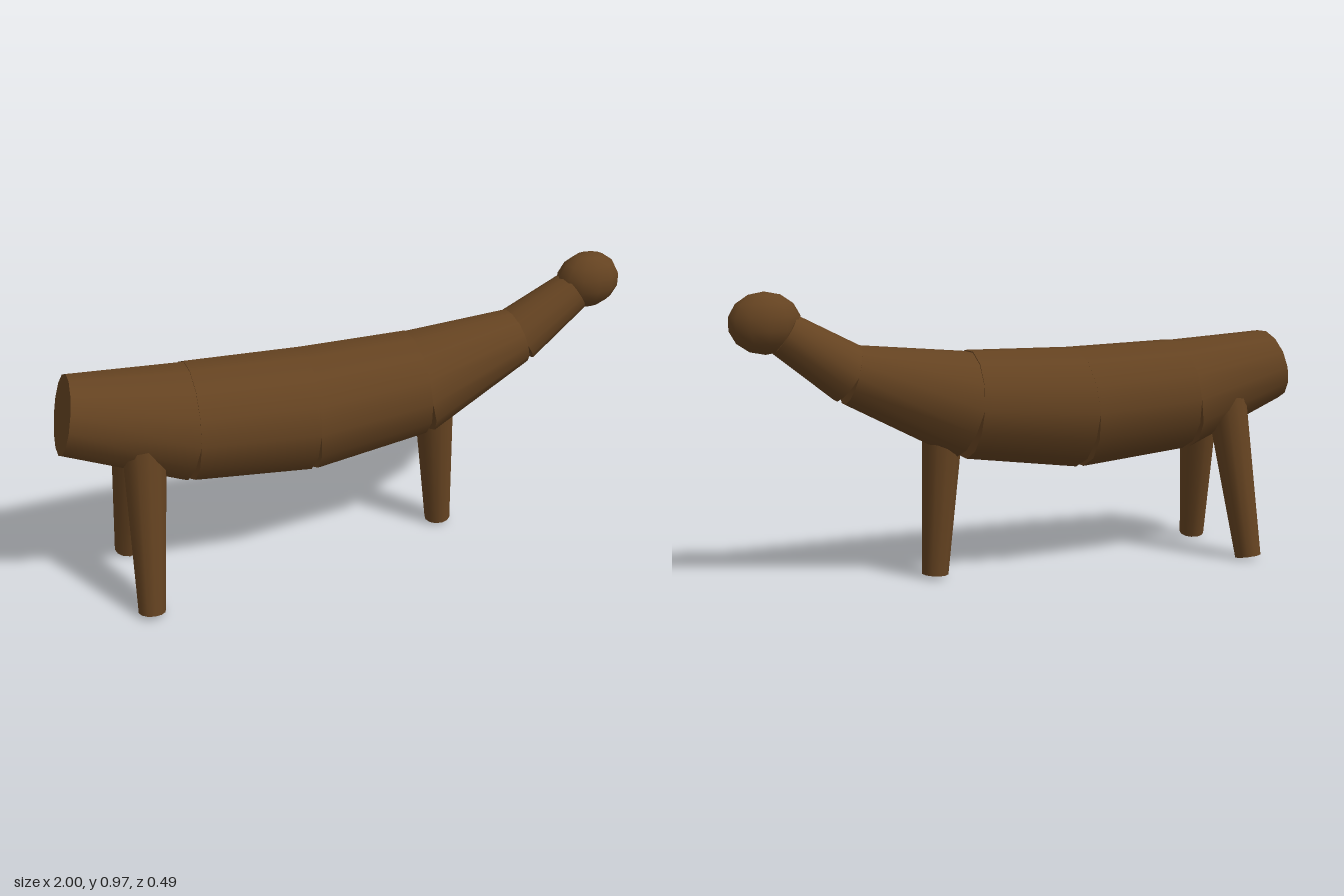
import * as THREE from 'three';

export function createModel() {
  const model = new THREE.Group();
  const brown = new THREE.MeshStandardMaterial({ color: 0x654321 });
  brown.name = 'brown';

  // Tapered cylinder running from point a (radius ra) to point b (radius rb)
  const limb = (name, a, ra, b, rb, sides) => {
    const start = new THREE.Vector3(...a);
    const end = new THREE.Vector3(...b);
    const axis = end.clone().sub(start);
    const mesh = new THREE.Mesh(new THREE.CylinderGeometry(rb, ra, axis.length(), sides), brown);
    mesh.name = name;
    mesh.position.copy(start).add(end).multiplyScalar(0.5);
    mesh.quaternion.setFromUnitVectors(new THREE.Vector3(0, 1, 0), axis.normalize());
    model.add(mesh);
  };

  // Body and neck: separate straight segments sharing joint centres [x, y, radius]
  const joints = [
    [-0.97, 0.675, 0.131],
    [-0.577, 0.583, 0.198],
    [-0.183, 0.557, 0.21],
    [0.22, 0.585, 0.184],
    [0.612, 0.70, 0.1],
    [0.825, 0.838, 0.073],
  ];
  const names = ['rump', 'rearBody', 'frontBody', 'shoulders', 'neck'];
  names.forEach((name, i) => {
    const [ax, ay, ar] = joints[i];
    const [bx, by, br] = joints[i + 1];
    limb(name, [ax, ay, 0], ar, [bx, by, 0], br, 14);
  });

  // Head: stretched ball
  const head = new THREE.Mesh(new THREE.SphereGeometry(1, 12, 7), brown);
  head.name = 'head';
  head.scale.set(0.116, 0.099, 0.084);
  head.position.set(0.884, 0.873, 0);
  model.add(head);

  // One front leg and a splayed pair of rear legs
  limb('frontLeg', [0.335, 0.012, 0], 0.046, [0.3, 0.58, 0], 0.073, 12);
  for (const side of [1, -1]) {
    limb(side > 0 ? 'rearLegNear' : 'rearLegFar',
      [-0.778, 0.01, side * 0.2], 0.045, [-0.737, 0.58, side * 0.09], 0.072, 12);
  }

  return model;
}
